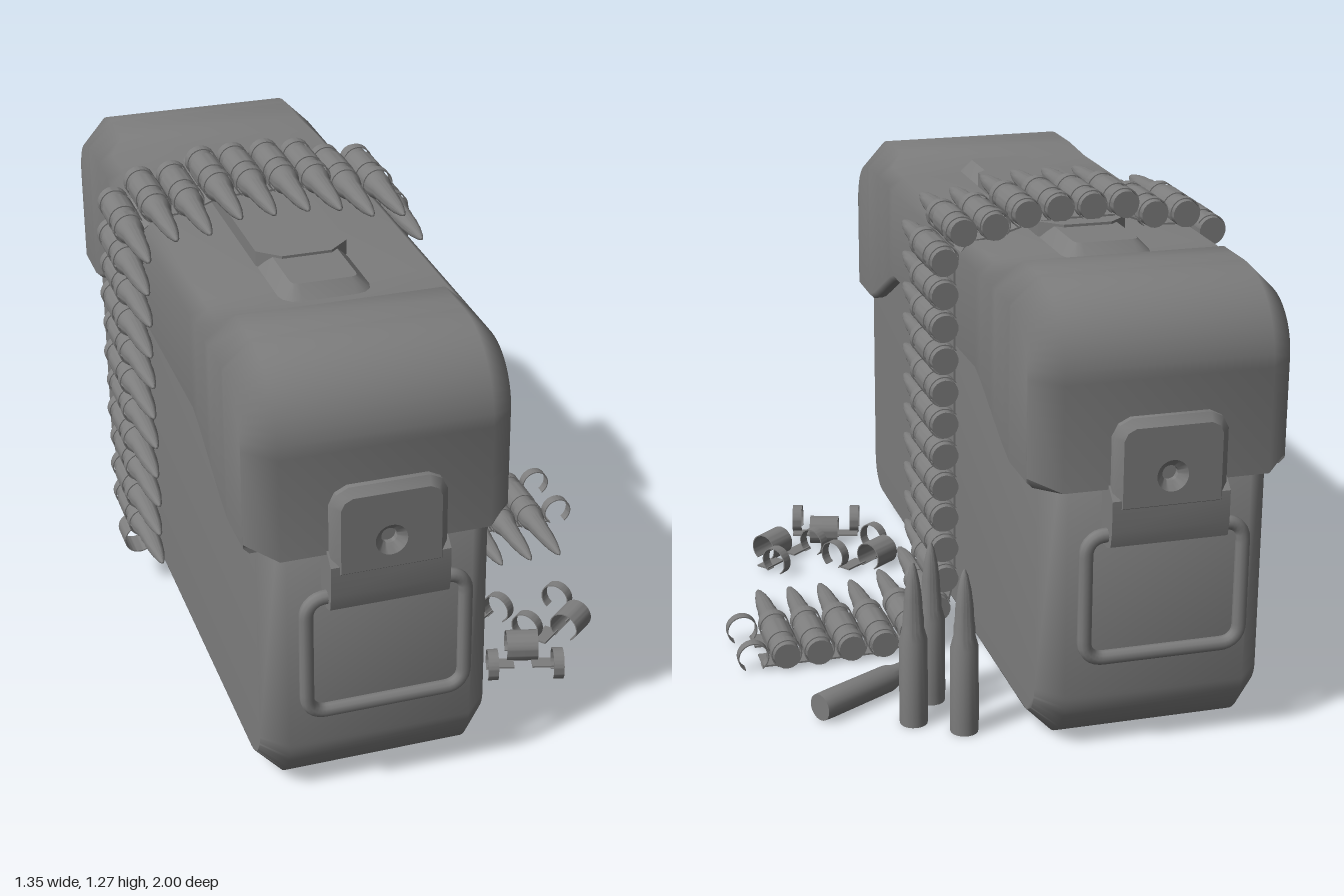
import * as THREE from 'three';
import { toCreasedNormals, mergeGeometries, mergeVertices } from 'three/addons/utils/BufferGeometryUtils.js';

const mat = new THREE.MeshStandardMaterial({ color: 0x7d7d7d });

function add(parent, name, geo) {
  const m = new THREE.Mesh(geo, mat);
  m.name = name;
  parent.add(m);
  return m;
}
const crease = (g, a = 0.6) => toCreasedNormals(g, a);
const poly = pts => new THREE.Shape(pts.map(p => new THREE.Vector2(...p)));

// Area-weighted smooth normals: soft chamfers beside flat faces
function soften(g) {
  g.deleteAttribute('uv');
  g.deleteAttribute('normal');
  const m = mergeVertices(g, 1e-4);
  m.computeVertexNormals();
  return m;
}

// Rounded rectangle as a closed list of points
function roundedRect(x0, y0, x1, y1, r, n = 6) {
  const pts = [];
  [[x1 - r, y1 - r], [x0 + r, y1 - r], [x0 + r, y0 + r], [x1 - r, y0 + r]].forEach(([cx, cy], k) => {
    for (let i = 0; i <= n; i++) {
      const a = (k + i / n) * Math.PI / 2;
      pts.push([cx + r * Math.cos(a), cy + r * Math.sin(a)]);
    }
  });
  return pts;
}

// Side profile (z, y) extruded across the width, with a single chamfer
function acrossX(shape, width, bevel) {
  const g = new THREE.ExtrudeGeometry(shape, {
    depth: width - 2 * bevel, bevelEnabled: bevel > 0, bevelSize: bevel,
    bevelThickness: bevel, bevelOffset: -bevel, bevelSegments: 1,
  });
  g.translate(0, 0, -(width - 2 * bevel) / 2);
  return g.rotateY(-Math.PI / 2);
}

// Lid: loops across the width, following the side outline from front to back
function lidGeometry() {
  const W = 0.3325, C = 0.07, R = 0.21, cz = 0.755, cy = 0.98;
  const half = [{ p: [0.965, 0.71], q: [0.895, 0.73], c: C }];
  for (let i = 0; i <= 10; i++) {
    const a = i / 10 * Math.PI / 2, s = Math.sin(a), c = Math.cos(a);
    half.push({ p: [cz + R * c, cy + R * s], q: [cz + (R - C) * c, cy + (R - C) * s], c: C });
  }
  for (const [z, y] of [[0.74, 1.19], [0.69, 1.19], [0.62, 1.19], [0.585, 1.155], [0.49, 1.155], [0.44, 1.155]])
    half.push({ p: [z, y], q: [z, 1.12], c: y - 1.12 });
  const flip = s => ({ p: [-s.p[0], s.p[1]], q: [-s.q[0], s.q[1]], c: s.c });
  const path = [...half, ...half.map(flip).reverse()];
  // Lower edge rises from the ends to the middle
  const edge = z => {
    const t = THREE.MathUtils.clamp((0.755 - Math.abs(z)) / 0.33, 0, 1);
    return 0.705 + 0.15 * (0.6 * t + 0.4 * t * t * (3 - 2 * t));
  };
  const pos = [], idx = [], loops = [], n = 8;
  path.forEach(({ p, q, c }, i) => {
    const e = edge(q[0]);
    const side = [[W - 0.015, e, q[0]], [W, e + 0.015, q[0]], [W, q[1], q[0]], [W - c, p[1], p[0]]];
    const loop = [...side, ...side.map(([x, y, z]) => [-x, y, z]).reverse()];
    loops.push(loop);
    pos.push(...loop.flat());
    if (!i) return;
    for (let j = 0; j < n; j++) {
      const k = (j + 1) % n, a = (i - 1) * n + j, b = (i - 1) * n + k, d = i * n + j, f = i * n + k;
      idx.push(a, d, f, a, f, b);
    }
  });
  // Undersides of the two ends, with their own corners to stay sharp
  const c0 = path.length * n, c1 = c0 + n;
  pos.push(...loops[0].flat(), ...loops[loops.length - 1].flat());
  for (let j = 1; j < n - 1; j++) idx.push(c0, c0 + j, c0 + j + 1, c1, c1 + j + 1, c1 + j);
  const g = new THREE.BufferGeometry();
  g.setAttribute('position', new THREE.Float32BufferAttribute(pos, 3));
  g.setIndex(idx);
  g.computeVertexNormals();
  return g;
}

// Latch and wire handle at one end of the box
function endFittings() {
  const g = new THREE.Group();
  const plate = poly([[-0.145, 0.65], [0.145, 0.65], [0.145, 0.845], [0.13, 0.875], [0.1, 0.89],
    [-0.1, 0.89], [-0.13, 0.875], [-0.145, 0.845]]);
  plate.holes.push(new THREE.Path().absarc(0, 0.743, 0.02, 0, Math.PI * 2, true));
  const latch = new THREE.ExtrudeGeometry(plate, {
    depth: 0.03, bevelSize: 0.02, bevelThickness: 0.02, bevelOffset: -0.02, bevelSegments: 1, curveSegments: 16,
  });
  add(g, 'latchPlate', crease(latch.translate(0, 0, 0.95)));
  const foot = poly([[0.9, 0.56], [0.965, 0.56], [0.99, 0.57], [0.998, 0.61], [0.998, 0.69], [0.965, 0.72], [0.9, 0.72]]);
  add(g, 'latchFoot', crease(acrossX(foot, 0.3, 0)));
  const path = new THREE.CurvePath();
  const pts = roundedRect(-0.202, 0.268, 0.202, 0.592, 0.045).map(([x, y]) => new THREE.Vector3(x, y, 0.962));
  pts.forEach((p, i) => path.add(new THREE.LineCurve3(p, pts[(i + 1) % pts.length])));
  add(g, 'wireHandle', new THREE.TubeGeometry(path, 120, 0.018, 10, true));
  return g;
}

// Cartridge standing on its base
const cartridgeGeo = crease(new THREE.LatheGeometry([
  [0, 0], [0.036, 0], [0.037, 0.03], [0.036, 0.235], [0.028, 0.265], [0.027, 0.295], [0.025, 0.305],
  [0.023, 0.345], [0.0175, 0.39], [0.009, 0.43], [0.003, 0.444], [0, 0.445],
].map(p => new THREE.Vector2(...p)), 18), 0.5);

// Belt link: one wide clip joined to two narrow clips a pitch further on
const PITCH = 0.089;
function clip(x, z, width) {
  const gap = 0.6, a0 = -Math.PI / 2 + gap, a1 = Math.PI * 1.5 - gap;
  const s = new THREE.Shape();
  s.absarc(0, 0, 0.042, a0, a1, false);
  s.absarc(0, 0, 0.039, a1, a0, true);
  const g = new THREE.ExtrudeGeometry(s, { depth: width, bevelEnabled: false, curveSegments: 20 });
  return g.translate(x, 0, z - width / 2);
}
const linkGeo = crease(mergeGeometries([
  clip(0, 0, 0.085), clip(PITCH, 0.088, 0.028), clip(PITCH, -0.088, 0.028),
  ...[1, -1].map(s => new THREE.BoxGeometry(0.04, 0.005, 0.075).toNonIndexed().translate(PITCH / 2, -0.029, s * 0.062)),
]));

export function createModel() {
  const model = new THREE.Group();
  model.name = 'ammunitionBox';

  // Box with lid
  const box = new THREE.Group();
  box.name = 'box';
  box.position.x = -0.2675;
  model.add(box);
  const body = new THREE.Shape();
  body.moveTo(0.92, 0.96);
  body.lineTo(-0.92, 0.96);
  body.lineTo(-0.92, 0.15);
  body.absarc(-0.77, 0.15, 0.15, Math.PI, Math.PI * 1.5);
  body.absarc(0.77, 0.15, 0.15, Math.PI * 1.5, Math.PI * 2);
  add(box, 'body', soften(acrossX(body, 0.59, 0.06)));
  add(box, 'lid', lidGeometry());

  // Carrying strap and its end pads on the lid
  const strap = poly([[-0.12, -0.285], [-0.065, -0.335], [0.065, -0.335], [0.12, -0.285],
    [0.12, 0.285], [0.065, 0.335], [-0.065, 0.335], [-0.12, 0.285]]);
  add(box, 'strap', crease(new THREE.ExtrudeGeometry(strap, { depth: 0.05, bevelEnabled: false })
    .rotateX(-Math.PI / 2).translate(0, 1.145, 0)));
  for (const s of [1, -1]) {
    const pad = new THREE.ExtrudeGeometry(poly(roundedRect(-0.12, 0.25, 0.12, 0.525, 0.05, 3)), {
      depth: 0.01, bevelSize: 0.035, bevelThickness: 0.035, bevelOffset: -0.035, bevelSegments: 1,
    });
    const m = add(box, 'strapPad', crease(pad.rotateX(-Math.PI / 2)));
    m.position.y = 1.143;
    m.rotation.y = s > 0 ? 0 : Math.PI;
    const end = endFittings();
    end.name = s > 0 ? 'frontFittings' : 'backFittings';
    end.rotation.y = s > 0 ? 0 : Math.PI;
    box.add(end);
  }

  // Belt path: up the right side, over the lid, down the left side and along the ground
  const path = [];
  for (let i = 0; i <= 10; i++) path.push([-0.637 + (i % 2) * 0.003, 0.155 + i * 0.0895]);
  path.push([-0.63, 1.14], [-0.555, 1.19], [-0.467, 1.195], [-0.385, 1.227], [-0.295, 1.227], [-0.205, 1.227],
    [-0.118, 1.218], [-0.03, 1.19], [0.055, 1.18]);
  for (let i = 0; i <= 10; i++) path.push([0.105, 1.105 - i * 0.089]);
  path.push([0.127, 0.13], [0.19, 0.065], [0.275, 0.042], [0.365, 0.042], [0.455, 0.042], [0.545, 0.042], [0.634, 0.042]);
  const belt = new THREE.Group();
  belt.name = 'belt';
  model.add(belt);
  path.forEach(([x, y], i) => {
    if (i > 0 && i < path.length - 1) {
      const c = add(belt, 'beltCartridge', cartridgeGeo);
      c.rotation.x = Math.PI / 2;
      c.position.set(x, y, -0.297);
    }
    if (i < path.length - 1) {
      const l = add(belt, 'beltLink', linkGeo);
      l.position.set(x, y, -0.182);
      l.rotation.z = Math.atan2(path[i + 1][1] - y, path[i + 1][0] - x);
    }
  });

  // Loose cartridges: three standing, one lying
  for (const [x, z] of [[0.177, -0.747], [0.29, -0.67], [0.215, -0.56]])
    add(model, 'standingCartridge', cartridgeGeo).position.set(x, 0, z);
  const lying = add(model, 'lyingCartridge', cartridgeGeo);
  lying.position.set(0.52, 0.037, -0.6);
  lying.quaternion.setFromUnitVectors(new THREE.Vector3(0, 1, 0), new THREE.Vector3(-0.39, 0, 0.22).normalize());

  // Loose links: position and heading on the ground
  for (const [x, z, dx, dz] of [[0.15, 0.33, 0.055, 0.075], [0.44, 0.475, -0.07, -0.085], [0.265, 0.545, -0.025, 0.09]]) {
    const l = add(model, 'looseLink', linkGeo);
    l.position.set(x, 0.041, z);
    l.rotation.y = Math.atan2(-dz, dx);
  }
  return model;
}
